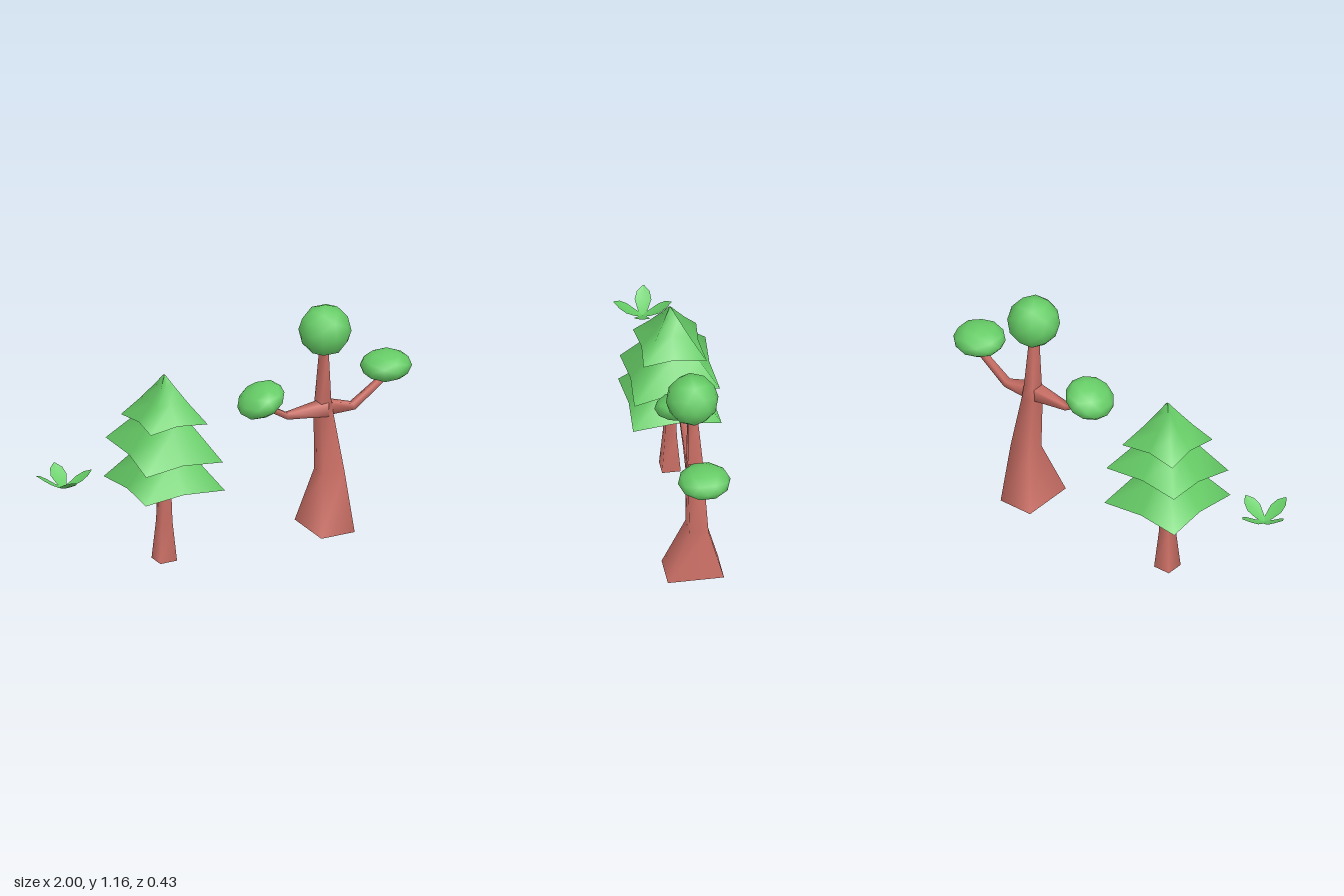
import * as THREE from 'three';

const green = new THREE.MeshStandardMaterial({ color: 0x66cc66 });
const bark = new THREE.MeshStandardMaterial({ color: 0xcc7066 });
const leafGreen = new THREE.MeshStandardMaterial({ color: 0x66cc66, side: THREE.DoubleSide });

// Skin rings of [x, y, z] points (counter-clockwise seen from the far end), with capped ends
function loft(name, rings, material) {
  const n = rings[0].length, pos = rings.flat(2), idx = [];
  for (let i = 0; i < rings.length - 1; i++) {
    for (let j = 0; j < n; j++) {
      const a = i * n + j, b = i * n + (j + 1) % n;
      idx.push(a, b, b + n, a, b + n, a + n);
    }
  }
  [rings[0], rings[rings.length - 1]].forEach((ring, end) => {
    const s = pos.length / 3;
    pos.push(...ring.flat());
    pos.push(...[0, 1, 2].map(k => ring.reduce((t, p) => t + p[k], 0) / n));
    for (let j = 0; j < n; j++) {
      const a = s + j, b = s + (j + 1) % n;
      idx.push(s + n, end ? a : b, end ? b : a);
    }
  });
  const g = new THREE.BufferGeometry();
  g.setAttribute('position', new THREE.Float32BufferAttribute(pos, 3));
  g.setIndex(idx);
  g.computeVertexNormals();
  const mesh = new THREE.Mesh(g, material);
  mesh.name = name;
  return mesh;
}

// Rectangular level of a trunk
const level = (y, x0, x1, z0, z1) => [[x1, y, z1], [x1, y, z0], [x0, y, z0], [x0, y, z1]];

// Pagoda-like skirt: square rings whose mid-sides are pulled in; profile rows are [half width, height, pinch]
function tier(name, profile, tilt) {
  const rings = profile.map(([w, y, pinch], i) => {
    const ring = [];
    for (let k = 0; k < 8; k++) {
      const mid = k % 2, a = Math.PI / 4 * (1 - k);
      const r = mid ? w * pinch : w * Math.SQRT2;
      const x = r * Math.cos(a), z = r * Math.sin(a);
      ring.push([x, y + tilt * z + (mid && i === 0 ? 0.012 : 0), z]);
    }
    return ring;
  });
  return loft(name, rings, green);
}

// Square-sectioned limb along a path in the xy plane; rows are [x, y, half thickness]
function branch(name, path, z) {
  const rings = path.map(([x, y, r], i) => {
    const p = path[Math.max(i - 1, 0)], q = path[Math.min(i + 1, path.length - 1)];
    const d = new THREE.Vector2(q[0] - p[0], q[1] - p[1]).normalize();
    return [[1, 1], [-1, 1], [-1, -1], [1, -1]].map(([u, v]) =>
      [x - d.y * u * r, y + d.x * u * r, z + v * r]);
  });
  return loft(name, rings, bark);
}

function canopy(name, x, y, z, rx, ry, tilt) {
  const mesh = new THREE.Mesh(new THREE.IcosahedronGeometry(1, 1), green);
  mesh.name = name;
  mesh.position.set(x, y, z);
  mesh.scale.set(rx, ry, 0.127);
  mesh.rotation.z = tilt;
  return mesh;
}

// Curved leaf rising along +x; rows are [distance, height, half width]
function leaf() {
  const rows = [[0, 0, 0.012], [0.035, 0.012, 0.026], [0.075, 0.034, 0.04], [0.11, 0.058, 0.031], [0.138, 0.078, 0.003]];
  const pos = [], idx = [];
  rows.forEach(([x, y, w], i) => {
    pos.push(x, y + w * 0.15, w, x, y, 0, x, y + w * 0.15, -w);
    if (i) for (const j of [0, 1]) {
      const a = (i - 1) * 3 + j;
      idx.push(a, a + 3, a + 4, a, a + 4, a + 1);
    }
  });
  const g = new THREE.BufferGeometry();
  g.setAttribute('position', new THREE.Float32BufferAttribute(pos, 3));
  g.setIndex(idx);
  g.computeVertexNormals();
  return g;
}

export function createModel() {
  const model = new THREE.Group();
  model.name = 'trees';

  // Conifer
  const pine = new THREE.Group();
  pine.name = 'pineTree';
  pine.position.set(-0.303, 0, -0.002);
  const sq = (y, w) => level(y, -w, w, -w, w);
  pine.add(
    loft('pineTrunk', [sq(0, 0.045), sq(0.2, 0.029), sq(0.46, 0.022)], bark),
    tier('lowerTier', [[0.214, 0.392, 0.93], [0.11, 0.54, 0.85], [0.05, 0.63, 0.7], [0.01, 0.7, 0.7]], 0),
    tier('middleTier', [[0.207, 0.565, 0.92], [0.11, 0.705, 0.82], [0.045, 0.79, 0.68], [0.008, 0.86, 0.7]], -0.14),
    tier('upperTier', [[0.153, 0.723, 0.9], [0.085, 0.82, 0.76], [0.035, 0.9, 0.62], [0.004, 0.952, 0.7]], 0),
  );
  model.add(pine);

  // Branching tree with rounded canopies
  const round = new THREE.Group();
  round.name = 'branchingTree';
  round.add(
    loft('mainTrunk', [
      level(0.02, 0.455, 0.635, -0.105, 0.167),
      level(0.3, 0.52, 0.635, -0.03, 0.062),
      level(0.6, 0.51, 0.578, -0.016, 0.06),
      level(0.68, 0.515, 0.566, -0.013, 0.058),
      level(0.96, 0.528, 0.553, 0.012, 0.054),
    ], bark),
    branch('rightBranch', [[0.55, 0.63, 0.035], [0.34, 0.628, 0.015], [0.22, 0.7, 0.013]], 0.03),
    branch('leftBranch', [[0.54, 0.635, 0.035], [0.70, 0.61, 0.017], [0.88, 0.735, 0.013]], 0.024),
    canopy('topCanopy', 0.545, 1.033, 0.034, 0.127, 0.127, 0),
    canopy('rightCanopy', 0.2, 0.738, 0.032, 0.12, 0.07, 0.46),
    canopy('leftCanopy', 0.875, 0.788, 0.032, 0.125, 0.072, 0.03),
  );
  model.add(round);

  // Four-leaf sprout
  const sprout = new THREE.Group();
  sprout.name = 'sprout';
  sprout.position.set(-0.865, 0.49, 0.035);
  const blade = leaf();
  for (let i = 0; i < 4; i++) {
    const mesh = new THREE.Mesh(blade, leafGreen);
    mesh.name = 'leaf';
    mesh.rotation.y = -0.2 + i * Math.PI / 2 + (i === 1 ? 0.05 : 0);
    sprout.add(mesh);
  }
  model.add(sprout);
  return model;
}
